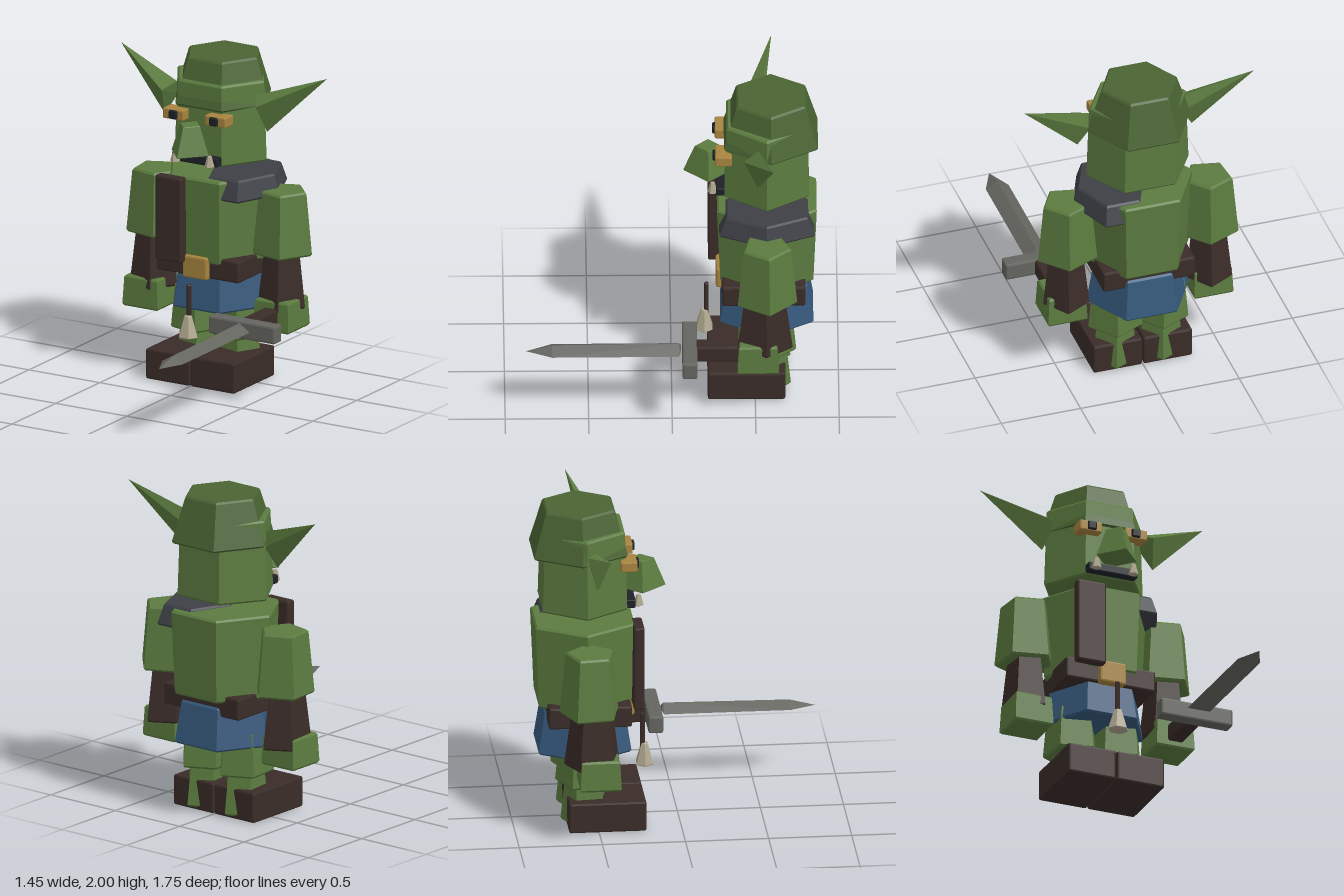
import * as THREE from 'three';
import { RoundedBoxGeometry } from 'three/addons/geometries/RoundedBoxGeometry.js';
import { ConvexGeometry } from 'three/addons/geometries/ConvexGeometry.js';

const paint = (color) => new THREE.MeshStandardMaterial({ color, flatShading: true });
const skin = paint(0x5b7b3f), hood = paint(0x4a6433), cloth = paint(0x36597c);
const leather = paint(0x3a2c28), gold = paint(0xa8843f), iron = paint(0x3d4046);
const steel = paint(0x64645f), bone = paint(0xb0a78f), dark = paint(0x1d2127);

export function createModel() {
  const model = new THREE.Group();

  function add(name, geometry, material) {
    const mesh = new THREE.Mesh(geometry, material);
    mesh.name = name;
    model.add(mesh);
    return mesh;
  }

  // box given by its limits, with a narrow chamfer
  function box(name, material, [x0, x1], [y0, y1], [z0, z1], bevel = 0.012) {
    const g = new RoundedBoxGeometry(x1 - x0, y1 - y0, z1 - z0, 1, bevel);
    g.translate((x0 + x1) / 2, (y0 + y1) / 2, (z0 + z1) / 2);
    return add(name, g, material);
  }

  // tapered prism with chamfered rims; turn is the angle of its first corner from +z
  function prism(name, material, sides, turn, x, z, [y0, y1], [r0, r1], sx = 1, sz = 1, b = 0.012) {
    const profile = [[0, y0], [r0 - b, y0], [r0, y0 + b], [r1, y1 - b], [r1 - b, y1], [0, y1]]
      .map(([r, y]) => new THREE.Vector2(r, y));
    const g = new THREE.LatheGeometry(profile, sides);
    g.rotateY(THREE.MathUtils.degToRad(turn));
    g.scale(sx, 1, sz);
    g.translate(x, 0, z);
    return add(name, g, material);
  }

  const hull = (name, material, points) =>
    add(name, new ConvexGeometry(points.map((p) => new THREE.Vector3(...p))), material);

  // head and hood
  prism('head', skin, 6, 30, 0, -0.57, [1.37, 1.87], [0.322, 0.305], 1, 0.91);
  prism('hood', hood, 6, 30, 0, -0.595, [1.71, 2], [0.325, 0.24]);
  prism('nose', skin, 4, 0, 0, -0.22, [1.46, 1.64], [0.13, 0.07], 1, 1.15, 0.004);
  box('mouth', dark, [-0.16, 0.16], [1.38, 1.435], [-0.36, -0.265], 0.008);

  // torso
  prism('torso', skin, 6, 30, 0, -0.57, [0.76, 1.285], [0.322, 0.345]);
  prism('skirt', cloth, 6, 30, 0, -0.57, [0.455, 0.72], [0.322, 0.28]);
  box('belt', leather, [-0.29, 0.29], [0.665, 0.8], [-0.8, -0.3]);
  box('buckle', gold, [-0.085, 0.085], [0.66, 0.8], [-0.34, -0.265]);
  box('chestStrap', leather, [-0.25, -0.065], [0.755, 1.285], [-0.285, -0.22]);
  prism('shoulderPlate', iron, 6, 30, 0.17, -0.57, [1.17, 1.3], [0.33, 0.285], 0.73, 1);

  // hanging tooth charm
  prism('charmCord', leather, 5, 0, 0, -0.21, [0.42, 0.64], [0.016, 0.016], 1, 1, 0.004);
  prism('charmTooth', bone, 6, 30, 0, -0.197, [0.315, 0.45], [0.065, 0.026], 1, 0.88, 0.005);

  // paired parts
  for (const s of [-1, 1]) {
    const side = s > 0 ? 'left' : 'right';
    const span = (a, b) => (s > 0 ? [a, b] : [-b, -a]);

    box(side + 'Eye', gold, span(0.075, 0.22), [1.635, 1.7], [-0.36, -0.26], 0.008);
    box(side + 'Pupil', dark, span(0.115, 0.17), [1.642, 1.695], [-0.3, -0.245], 0.008);
    prism(side + 'Tusk', bone, 6, 0, s * 0.12, -0.245, [1.385, 1.455], [0.03, 0.014], 1, 1, 0.003);
    hull(side + 'Ear', skin, [
      [s * 0.725, 1.94, -0.605], [s * 0.28, 1.79, -0.52], [s * 0.33, 1.745, -0.43],
      [s * 0.36, 1.575, -0.515], [s * 0.29, 1.7, -0.55],
    ]);

    prism(side + 'UpperArm', skin, 5, 24, s * 0.445, -0.565, [0.82, 1.215], [0.188, 0.152]);
    prism(side + 'Forearm', leather, 5, 24, s * 0.45, -0.55, [0.49, 0.83], [0.16, 0.122], 0.9, 1.1);
    prism(side + 'Hand', skin, 4, 45, s * 0.46, -0.515, [0.37, 0.56], [0.175, 0.163]);

    prism(side + 'Thigh', skin, 5, 24, s * 0.145, -0.565, [0.27, 0.55], [0.185, 0.16], 0.92, 1);
    prism(side + 'Shin', skin, 5, 24, s * 0.145, -0.565, [0.02, 0.3], [0.152, 0.125], 0.92, 1);
    box(side + 'Boot', leather, span(0.004, 0.312), [0, 0.19], [-0.68, -0.215]);
  }

  // sword held forward in the left hand
  box('swordGrip', leather, [0.41, 0.507], [0.41, 0.515], [-0.56, -0.12]);
  box('swordGuard', steel, [0.225, 0.69], [0.41, 0.52], [-0.15, -0.06]);
  hull('swordBlade', steel, [
    [0.386, 0.468, -0.04], [0.53, 0.468, -0.04], [0.458, 0.516, -0.04],
    [0.42, 0.48, -0.053], [0.496, 0.48, -0.053],
    [0.386, 0.466, 0.72], [0.53, 0.466, 0.72], [0.458, 0.506, 0.72],
    [0.458, 0.465, 0.875],
  ]);

  return model;
}
